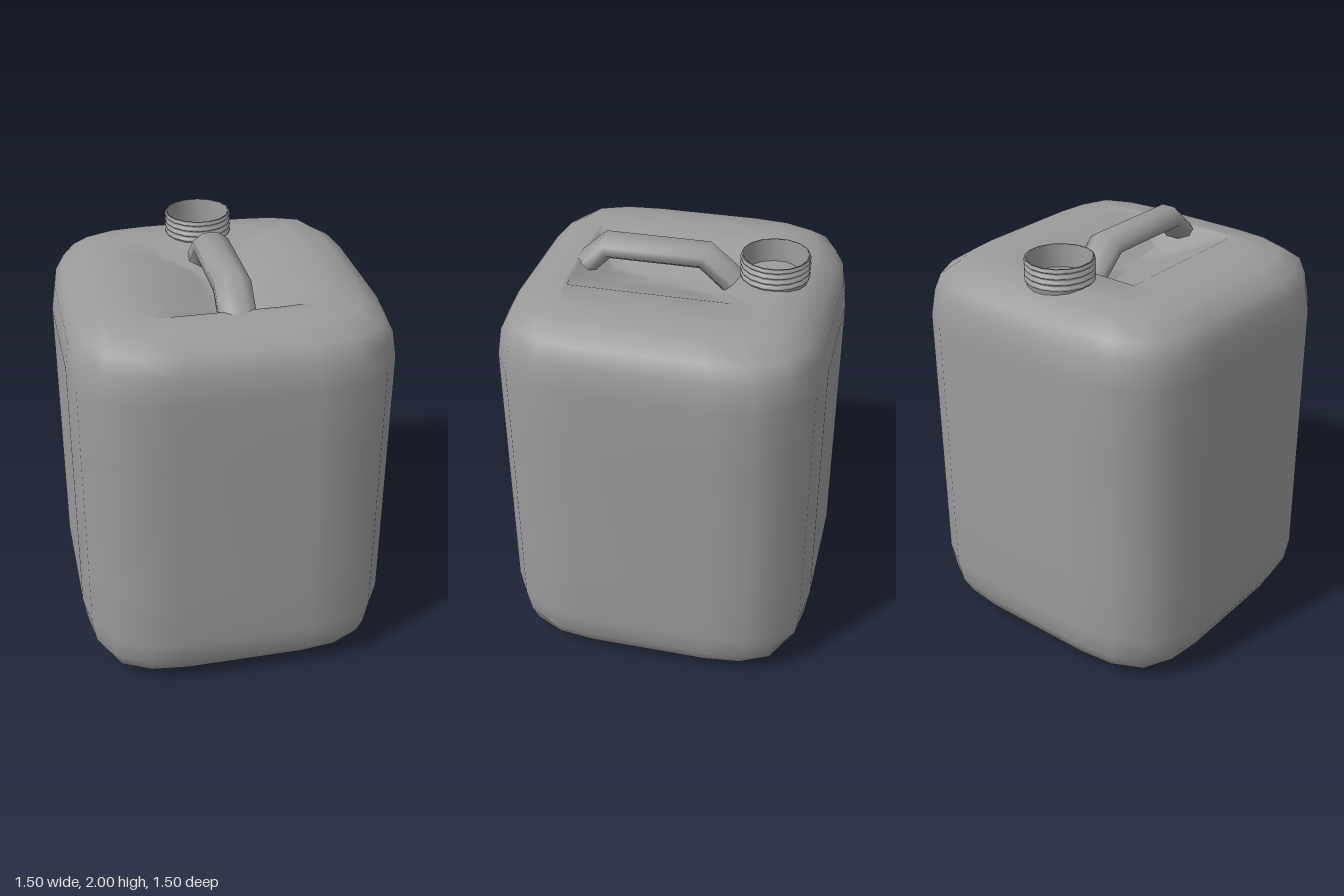
import * as THREE from 'three';

const grey = new THREE.MeshStandardMaterial({ color: 0x9b9b9b });
const greyOpen = new THREE.MeshStandardMaterial({ color: 0x9b9b9b, side: THREE.DoubleSide });

// Smooth skin over a list of closed rings that all have the same number of points
function loft(rings) {
  const n = rings[0].length;
  const positions = rings.flat().flat();
  const index = [];
  for (let i = 0; i < rings.length - 1; i++) {
    for (let j = 0; j < n; j++) {
      const k = (j + 1) % n;
      const a = i * n + j, b = a + n, c = (i + 1) * n + k, d = i * n + k;
      index.push(a, b, c, a, c, d);
    }
  }
  const geometry = new THREE.BufferGeometry();
  geometry.setAttribute('position', new THREE.Float32BufferAttribute(positions, 3));
  geometry.setIndex(index);
  geometry.computeVertexNormals();
  return geometry;
}

function addMesh(group, name, geometry, material) {
  const mesh = new THREE.Mesh(geometry, material);
  mesh.name = name;
  group.add(mesh);
  return mesh;
}

// Rounded-square plan: one corner turned through four quarters.
// A bulge of 0.17 pushes the corners out to a full square.
function planOutline(bulge) {
  const corner = [[0.75, 0.31, 0], [0.725, 0.5, 0.2], [0.64, 0.64, 1], [0.5, 0.725, 0.2], [0.31, 0.75, 0]];
  const points = [];
  for (let q = 0; q < 4; q++) {
    for (const [px, pz, weight] of corner) {
      const x = px * (1 + bulge * weight), z = pz * (1 + bulge * weight);
      points.push([[x, z], [-z, x], [-x, -z], [z, -x]][q]);
    }
  }
  return points;
}

// Tank: plan outline scaled level by level, with a hand recess in the top
function bodyGeometry() {
  // height, x scale, z scale, z shift, corner bulge
  const levels = [
    [0, 0, 0, 0, 0], [0, 0.4, 0.4, 0, 0.05], [0.003, 0.64, 0.64, 0, 0.07], [0.02, 0.8, 0.8, 0, 0.05],
    [0.08, 0.92, 0.92, 0, 0.02], [0.16, 0.975, 0.975, 0, 0], [0.28, 1, 1, 0, 0],
    [0.6, 1, 1, 0, 0], [1.28, 1, 1, 0, 0],
    [1.6, 1, 1, 0, 0], [1.725, 0.975, 0.975, 0, 0], [1.805, 0.92, 0.92, 0, 0.02],
    [1.865, 0.8, 0.8, 0, 0.04], [1.882, 0.64, 0.64, 0, 0.06],
    [1.882, 0.4, 0.503, 0.078, 0.17], [1.782, 0.1, 0.35, 0.078, 0.17], [1.782, 0, 0, 0.078, 0],
  ];
  return loft(levels.map(([y, sx, sz, dz, bulge]) =>
    planOutline(bulge).map(([x, z]) => [x * sx, y, z * sz + dz])));
}

// Grip: octagonal sections between an outer and an inner edge
function handleGeometry() {
  // outer z, outer y, inner z, inner y
  const stations = [
    [0.51, 1.86, 0.44, 1.78], [0.355, 2, 0.325, 1.895],
    [-0.14, 2, -0.1, 1.895], [-0.32, 1.85, -0.23, 1.78],
  ];
  const grow = 1 / Math.cos(Math.PI / 8);
  return loft(stations.map(([oz, oy, iz, iy]) => {
    const ring = [];
    for (let k = 0; k < 8; k++) {
      const a = (k + 0.5) * Math.PI / 4;
      const c = Math.cos(a) * grow, s = Math.sin(a) * grow / 2;
      ring.push([0.083 * c, (oy + iy) / 2 + (oy - iy) * s, (oz + iz) / 2 + (oz - iz) * s]);
    }
    return ring;
  }));
}

// Spout: threaded outer wall, rim and inner wall
function neckGeometry() {
  const profile = [[0.15, 1.84]];
  for (let i = 0; i < 4; i++) {
    const y = 1.885 + i * 0.027;
    profile.push([0.15, y], [0.16, y + 0.006], [0.16, y + 0.014], [0.15, y + 0.02]);
  }
  profile.push([0.157, 1.99], [0.148, 1.99], [0.144, 1.84]);
  return new THREE.LatheGeometry(
    profile.map(([r, y]) => new THREE.Vector2(r, y)), 16, Math.PI / 16);
}

export function createModel() {
  const group = new THREE.Group();
  group.name = 'canister';
  addMesh(group, 'body', bodyGeometry(), grey);
  addMesh(group, 'handle', handleGeometry(), grey);
  addMesh(group, 'neck', neckGeometry(), greyOpen).position.z = -0.445;
  return group;
}
